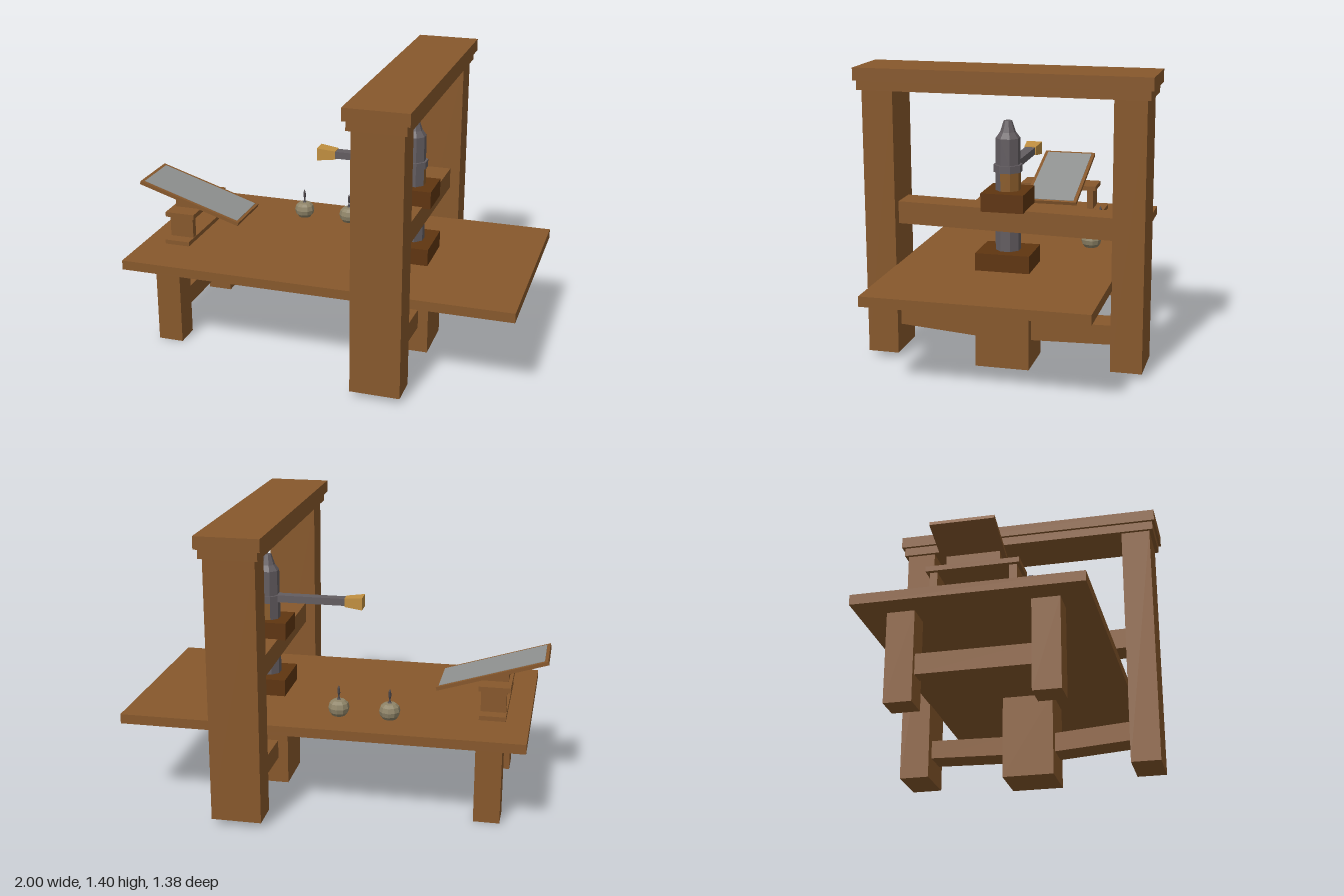
import * as THREE from 'three';

const mat = (name, color, extra = {}) => {
  const m = new THREE.MeshStandardMaterial({ color, ...extra });
  m.name = name;
  return m;
};

export function createModel() {
  const model = new THREE.Group();
  model.name = 'printingPress';

  const flat = { flatShading: true };
  const wood = mat('wood', 0x87582c);
  const darkWood = mat('darkWood', 0x5f3510);
  const iron = mat('iron', 0x635d61, flat);
  const gripWood = mat('gripWood', 0xc08f40, flat);
  const screwWood = mat('screwWood', 0x8a5c2c, flat);
  const plate = mat('plate', 0x8f9190);
  const leather = mat('leather', 0x8f8468, flat);
  const stem = mat('stem', 0x4a4548, flat);

  const add = (name, geometry, material, parent = model) => {
    const mesh = new THREE.Mesh(geometry, material);
    mesh.name = name;
    parent.add(mesh);
    return mesh;
  };
  // Box given by its extents on each axis
  const box = (name, material, [x0, x1], [y0, y1], [z0, z1], parent = model) => {
    const mesh = add(name, new THREE.BoxGeometry(x1 - x0, y1 - y0, z1 - z0), material, parent);
    mesh.position.set((x0 + x1) / 2, (y0 + y1) / 2, (z0 + z1) / 2);
    return mesh;
  };
  const polygon = (points) => new THREE.Shape(points.map(([x, y]) => new THREE.Vector2(x, y)));
  // Slanted beam: z/y outline carried along x
  const beam = (name, x0, x1, outline) => {
    const g = new THREE.ExtrudeGeometry(polygon(outline), { depth: x1 - x0, bevelEnabled: false });
    g.rotateY(-Math.PI / 2);
    g.translate(x1, 0, 0);
    return add(name, g, wood);
  };
  const octagon = (name, material, profile, parent) => {
    const pts = profile.map(([r, y]) => new THREE.Vector2(r / Math.cos(Math.PI / 8), y));
    return add(name, new THREE.LatheGeometry(pts, 8, Math.PI / 8), material, parent);
  };

  // Table and its front legs
  box('tableTop', wood, [-0.93, 1], [0.42, 0.467], [-0.517, 0.515]);
  for (const s of [-1, 1]) {
    const z = s * 0.321;
    box('tableLeg', wood, [-0.815, -0.69], [0, 0.42], [z - 0.063, z + 0.063]);
  }
  box('legStretcher', wood, [-0.79, -0.715], [0.13, 0.225], [-0.27, 0.27]);

  // Press frame
  for (const s of [-1, 1]) {
    const z = s * 0.587;
    box('framePost', wood, [0.275, 0.515], [0.03, 1.3], [z - 0.074, z + 0.074]);
  }
  box('capMoulding', wood, [0.258, 0.53], [1.295, 1.34], [-0.678, 0.68]);
  box('capBeam', wood, [0.242, 0.546], [1.34, 1.4], [-0.692, 0.692]);
  box('centreBlock', wood, [0.275, 0.515], [0, 0.42], [-0.128, 0.13]);
  beam('upperBeam', 0.325, 0.465, [[-0.52, 0.64], [0.52, 0.66], [0.52, 0.766], [-0.52, 0.745]]);
  beam('lowerBeamLeft', 0.325, 0.465, [[0.12, 0.13], [0.52, 0.16], [0.52, 0.257], [0.12, 0.227]]);
  beam('lowerBeamRight', 0.325, 0.465, [[-0.52, 0.143], [-0.12, 0.132], [-0.12, 0.227], [-0.52, 0.236]]);

  // Pressing blocks above and below the beam
  box('platen', darkWood, [0.285, 0.505], [0.467, 0.55], [-0.128, 0.13]);
  box('screwBlock', darkWood, [0.285, 0.505], [0.75, 0.836], [-0.1, 0.102]);

  // Iron screw with a wooden inlay on part of its neck
  const screw = new THREE.Group();
  screw.name = 'screw';
  screw.position.set(0.395, 0, -0.001);
  model.add(screw);
  octagon('screwShaft', iron, [[0.055, 0.54], [0.055, 0.76]], screw);
  octagon('screwHead', iron, [[0.053, 0.95], [0.053, 1.08], [0.034, 1.108], [0.018, 1.16], [0, 1.16]], screw);
  octagon('screwCollar', iron, [[0, 0.922], [0.063, 0.922], [0.063, 0.957], [0, 0.957]], screw);
  const neckRadius = 0.055 / Math.cos(Math.PI / 8);
  const neck = (name, material, sides, start) => {
    const g = new THREE.CylinderGeometry(neckRadius, neckRadius, 0.1, sides, 1, true, start, (sides * Math.PI) / 4);
    add(name, g, material, screw).position.y = 0.88;
  };
  neck('neckInlay', screwWood, 3, (3 * Math.PI) / 8);
  neck('screwNeck', iron, 5, (9 * Math.PI) / 8);

  // Pull bar with flared grip
  box('pullBar', iron, [-0.005, 0.395], [0.925, 0.96], [-0.035, 0.015]);
  const gripGeo = new THREE.BoxGeometry(0.09, 0.062, 0.078);
  const p = gripGeo.attributes.position;
  for (let i = 0; i < p.count; i++) {
    if (p.getX(i) > 0) p.setXYZ(i, p.getX(i), p.getY(i) * 0.68, p.getZ(i) * 0.74);
  }
  add('pullGrip', gripGeo, gripWood).position.set(-0.043, 0.942, -0.01);

  // Stand for the tilted tray
  box('standBase', wood, [-0.817, -0.69], [0.467, 0.489], [-0.257, 0.257]);
  for (const s of [-1, 1]) {
    const z = s * 0.178;
    box('standPost', wood, [-0.813, -0.692], [0.489, 0.596], [z - 0.017, z + 0.017]);
  }
  box('standTop', wood, [-0.832, -0.68], [0.594, 0.618], [-0.21, 0.21]);
  const wedge = new THREE.ExtrudeGeometry(
    polygon([[-0.815, 0.618], [-0.695, 0.618], [-0.695, 0.635], [-0.815, 0.672]]),
    { depth: 0.24, bevelEnabled: false });
  wedge.translate(0, 0, -0.12);
  add('trayWedge', wedge, wood);

  // Tilted tray and its plate
  const tray = new THREE.Group();
  tray.name = 'tray';
  tray.position.set(-0.735, 0.65, -0.003);
  tray.rotation.z = -Math.atan2(0.165, 0.525);
  model.add(tray);
  box('trayBoard', wood, [-0.277, 0.277], [-0.009, 0.009], [-0.143, 0.143], tray);
  box('trayPlate', plate, [-0.261, 0.263], [0.008, 0.011], [-0.126, 0.126], tray);

  // Ink balls
  const ballProfile = [[0, 0], [0.032, 0], [0.046, 0.018], [0.051, 0.04], [0.045, 0.063], [0.03, 0.076], [0, 0.08]]
    .map(([r, y]) => new THREE.Vector2(r, y));
  const stemProfile = [[0.012, 0.076], [0.006, 0.084], [0.003, 0.098], [0.007, 0.112], [0.006, 0.135], [0, 0.15]]
    .map(([r, y]) => new THREE.Vector2(r, y));
  for (const x of [-0.273, -0.027]) {
    const ball = new THREE.Group();
    ball.name = 'inkBall';
    ball.position.set(x, 0.466, -0.315);
    model.add(ball);
    add('inkPad', new THREE.LatheGeometry(ballProfile, 10), leather, ball);
    add('inkHandle', new THREE.LatheGeometry(stemProfile, 8), stem, ball);
  }

  return model;
}
